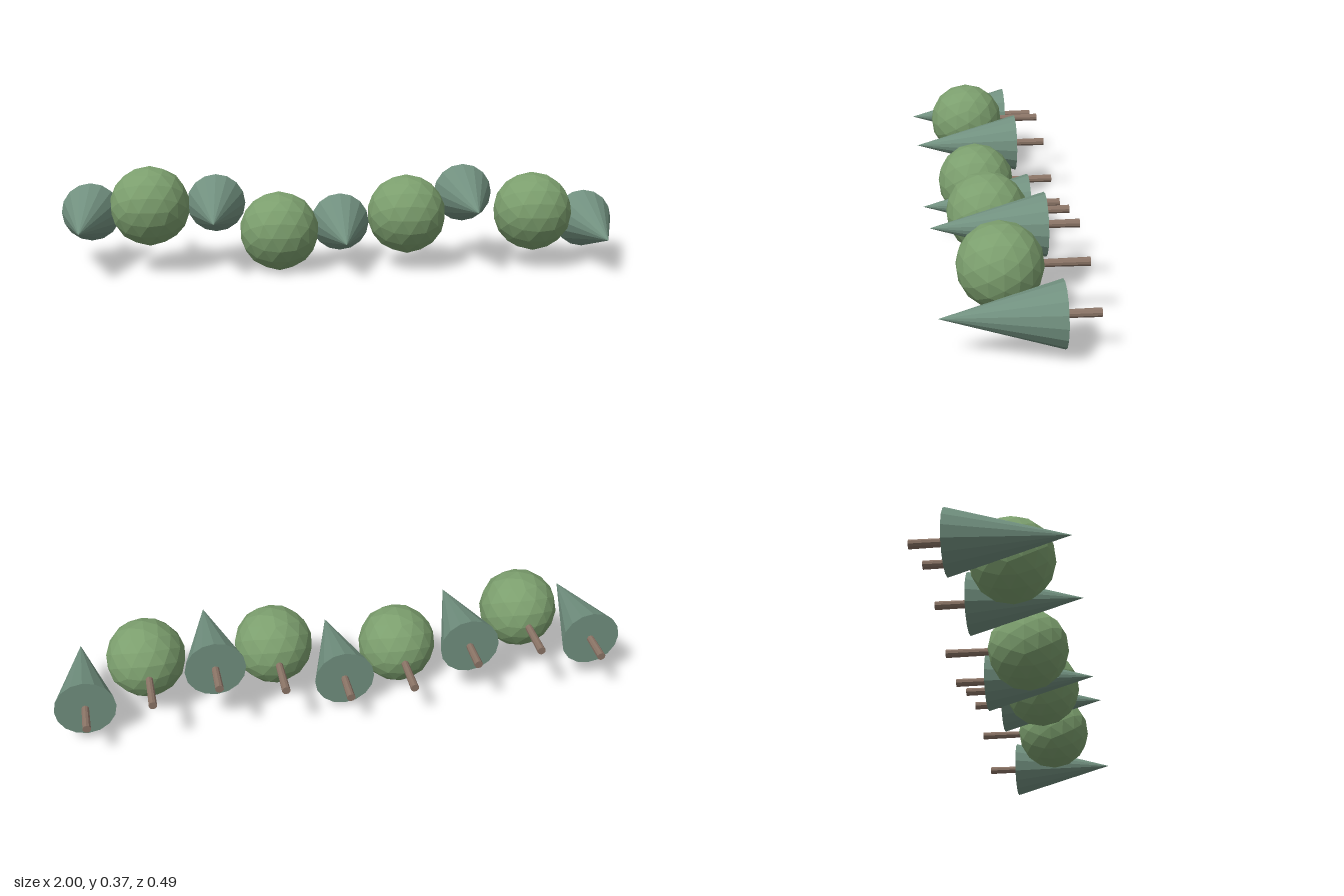
import * as THREE from 'three';

const flat = (name, color) => {
  const m = new THREE.MeshStandardMaterial({ color, flatShading: true });
  m.name = name;
  return m;
};

// Slightly uneven ball of leaves, displaced by a smooth rule so shared corners stay joined
function crownGeometry(radius) {
  const g = new THREE.IcosahedronGeometry(radius, 2);
  const p = g.attributes.position;
  const v = new THREE.Vector3();
  for (let i = 0; i < p.count; i++) {
    v.fromBufferAttribute(p, i);
    const n = Math.sin(v.x * 90 + 1) * Math.sin(v.y * 80 + 2) * Math.sin(v.z * 100 + 3);
    v.multiplyScalar(1 + 0.015 * n);
    p.setXYZ(i, v.x, v.y, v.z);
  }
  g.computeVertexNormals();
  return g.rotateX(Math.PI / 2);
}

export function createModel() {
  const group = new THREE.Group();
  group.name = 'treeRow';
  const pine = flat('pineGreen', 0x71907f);
  const leaf = flat('leafGreen', 0x7c9f6e);
  const bark = flat('barkBrown', 0x8a7466);

  const add = (parent, name, geometry, material, z) => {
    const mesh = new THREE.Mesh(geometry, material);
    mesh.name = name;
    mesh.position.z = z;
    parent.add(mesh);
  };

  // Shared parts, all pointing along +z
  const cone = new THREE.ConeGeometry(0.105, 0.373, 16).rotateX(Math.PI / 2);
  const crown = crownGeometry(0.138);
  const trunk = new THREE.CylinderGeometry(0.0125, 0.0145, 0.16, 10).rotateX(Math.PI / 2);

  // Alternating pines and round trees at their own heights
  const heights = [0.18, 0.235, 0.208, 0.14, 0.132, 0.195, 0.235, 0.199, 0.134];
  heights.forEach((y, i) => {
    const isPine = i % 2 === 0;
    const tree = new THREE.Group();
    tree.name = (isPine ? 'pineTree' : 'roundTree') + (i + 1);
    tree.position.set((i - 4) * 0.2237, y, 0);
    add(tree, 'trunk', trunk, bark, -0.163);
    if (isPine) add(tree, 'needles', cone, pine, 0.056);
    else add(tree, 'crown', crown, leaf, 0.038);
    group.add(tree);
  });
  return group;
}
